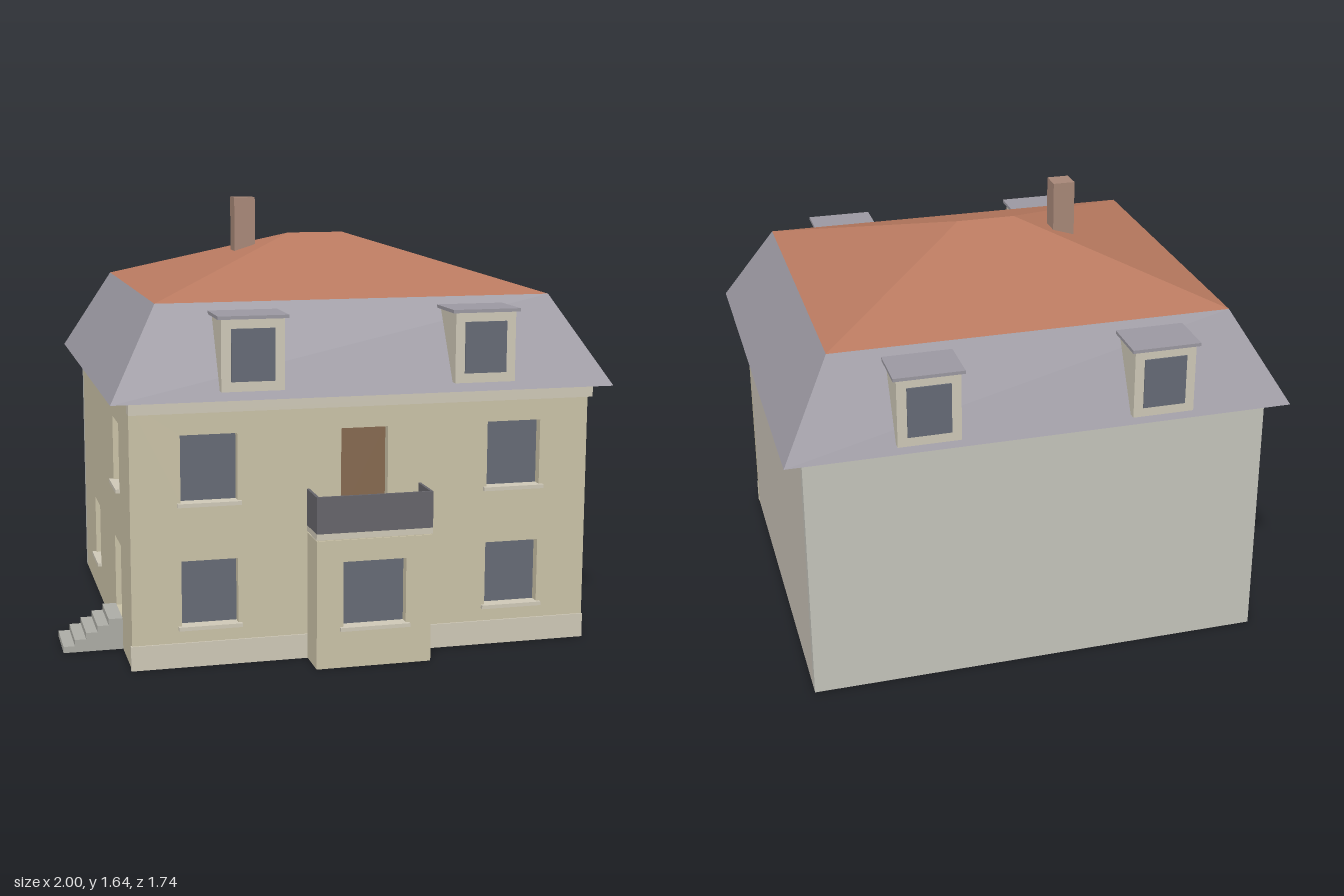
import * as THREE from 'three';

const material = (color, side = THREE.FrontSide) =>
  new THREE.MeshStandardMaterial({ color, side, flatShading: true });

const M = {
  wall: material(0xcbc3a8),
  sideWall: material(0xc9c1b7),
  backWall: material(0xc6c5bc),
  trim: material(0xcfc9b8),
  glass: material(0x666b76),
  door: material(0x876a50),
  slate: material(0x9c99a2, THREE.DoubleSide),
  tile: material(0xb97a60, THREE.DoubleSide),
  chimney: material(0xa88878),
  rail: material(0x66656b),
  stone: material(0xadada6),
};

// Box given by its minimum and maximum on each axis
function box(parent, name, mat, [x0, x1], [y0, y1], [z0, z1]) {
  const mesh = new THREE.Mesh(new THREE.BoxGeometry(x1 - x0, y1 - y0, z1 - z0), mat);
  mesh.position.set((x0 + x1) / 2, (y0 + y1) / 2, (z0 + z1) / 2);
  mesh.name = name;
  parent.add(mesh);
  return mesh;
}

function rectangle(Type, [x0, x1], [y0, y1]) {
  return new Type([[x0, y0], [x1, y0], [x1, y1], [x0, y1]].map(([x, y]) => new THREE.Vector2(x, y)));
}

// Wall whose outer face is at z = face, with recessed windows and doors
function facade(name, xs, ys, face, openings, thickness = 0.04) {
  const group = new THREE.Group();
  group.name = name;
  const shape = rectangle(THREE.Shape, xs, ys);
  openings.forEach((o) => shape.holes.push(rectangle(THREE.Path, o.x, o.y)));
  const geometry = new THREE.ExtrudeGeometry(shape, { depth: thickness, bevelEnabled: false });
  geometry.translate(0, 0, face - thickness);
  const wall = new THREE.Mesh(geometry, M.wall);
  wall.name = name + 'Wall';
  group.add(wall);
  for (const { x, y, door } of openings) {
    const back = face - thickness;
    box(group, door ? 'door' : 'windowPane', door ? M.door : M.glass, x, y, [back - 0.005, back + 0.004]);
    if (!door) {
      box(group, 'windowSill', M.trim, [x[0] - 0.013, x[1] + 0.013], [y[0] - 0.012, y[0] + 0.002], [back, face + 0.016]);
    }
  }
  return group;
}

// Four sloping roof faces between two rectangles { x, z, y }
function slopes(name, mat, low, high) {
  const ring = ({ x, z, y }) => [[x[0], y, z[1]], [x[1], y, z[1]], [x[1], y, z[0]], [x[0], y, z[0]]];
  const a = ring(low), b = ring(high), points = [];
  for (let i = 0; i < 4; i++) {
    const j = (i + 1) % 4;
    points.push(...a[i], ...a[j], ...b[j]);
    if (b[i].some((v, k) => v !== b[j][k])) points.push(...a[i], ...b[j], ...b[i]);
  }
  const geometry = new THREE.BufferGeometry();
  geometry.setAttribute('position', new THREE.Float32BufferAttribute(points, 3));
  geometry.computeVertexNormals();
  const mesh = new THREE.Mesh(geometry, mat);
  mesh.name = name;
  return mesh;
}

// Dormer with its front face at z = 0
function dormer() {
  const group = new THREE.Group();
  group.name = 'dormer';
  box(group, 'dormerBody', M.trim, [-0.113, 0.113], [1.005, 1.26], [-0.19, 0]);
  box(group, 'dormerPane', M.glass, [-0.078, 0.078], [1.04, 1.225], [-0.02, 0.005]);
  box(group, 'dormerRoof', M.slate, [-0.126, 0.126], [1.258, 1.27], [-0.19, 0.011]);
  return group;
}

export function createModel() {
  const house = new THREE.Group();
  house.name = 'house';

  // Plain walls and inner core
  box(house, 'core', M.backWall, [-0.74, 0.89], [0, 0.96], [-0.74, 0.67]);
  box(house, 'backWall', M.backWall, [-0.78, 0.93], [0, 0.97], [-0.78, -0.74]);
  box(house, 'plainSideWall', M.sideWall, [0.89, 0.93], [0, 0.97], [-0.779, 0.67]);

  // Front wall
  const lower = [0.15, 0.39], upper = [0.6, 0.845], columns = [[-0.6, -0.395], [0.54, 0.745]];
  const openings = columns.flatMap((x) => [{ x, y: lower }, { x, y: upper }]);
  openings.push({ x: [-0.015, 0.16], y: [0.496, 0.845], door: true });
  house.add(facade('front', [-0.78, 0.93], [0, 0.97], 0.71, openings));
  box(house, 'frieze', M.trim, [-0.785, 0.93], [0.93, 0.97], [0.7, 0.755]);
  for (const x of [[-0.785, -0.14], [0.285, 0.932]]) {
    box(house, 'plinth', M.trim, x, [0, 0.09], [0.7, 0.716]);
  }

  // Entrance side: local x runs along the model's z
  const side = facade('entranceSide', [-0.74, 0.67], [0, 0.97], 0.78, [
    { x: [-0.38, -0.21], y: lower },
    { x: [0.26, 0.43], y: upper },
    { x: [0.27, 0.44], y: [0.115, 0.39], door: true },
  ]);
  side.rotation.y = -Math.PI / 2;
  house.add(side);

  // Entrance steps
  for (let i = 0; i < 5; i++) {
    box(house, 'step', M.stone, [-1 + i * 0.042, -0.78], [i * 0.0235, (i + 1) * 0.0235], [0.255, 0.455]);
  }

  // Bay with balcony
  const bayX = [-0.14, 0.285];
  box(house, 'bayCore', M.wall, bayX, [0, 0.47], [0.7, 0.81]);
  house.add(facade('bay', bayX, [0, 0.47], 0.85, [{ x: [-0.042, 0.19], y: lower }]));
  box(house, 'balconyFloor', M.trim, [-0.142, 0.287], [0.475, 0.497], [0.7, 0.855]);
  box(house, 'balconyBase', M.wall, [-0.135, 0.28], [0.47, 0.475], [0.7, 0.845]);
  box(house, 'balconyFront', M.rail, [-0.142, 0.287], [0.497, 0.63], [0.845, 0.855]);
  for (const x of [[-0.142, -0.132], [0.277, 0.287]]) {
    box(house, 'balconySide', M.rail, x, [0.497, 0.63], [0.71, 0.845]);
  }

  // Mansard roof, open underneath
  const eave = { x: [-0.85, 1], z: [-0.85, 0.78], y: 0.972 };
  const curb = { x: [-0.665, 0.81], z: [-0.67, 0.595], y: 1.297 };
  const ridge = { x: [-0.035, 0.185], z: [-0.036, -0.036], y: 1.497 };
  house.add(slopes('mansard', M.slate, eave, curb));
  house.add(slopes('upperRoof', M.tile, curb, ridge));
  box(house, 'chimney', M.chimney, [-0.252, -0.17], [1.3, 1.637], [-0.112, -0.03]);

  // Dormers, front and back
  for (const x of [-0.353, 0.497]) {
    const front = dormer();
    front.position.set(x, 0, 0.79);
    const back = dormer();
    back.position.set(x, 0, -0.86);
    back.rotation.y = Math.PI;
    house.add(front, back);
  }
  return house;
}
